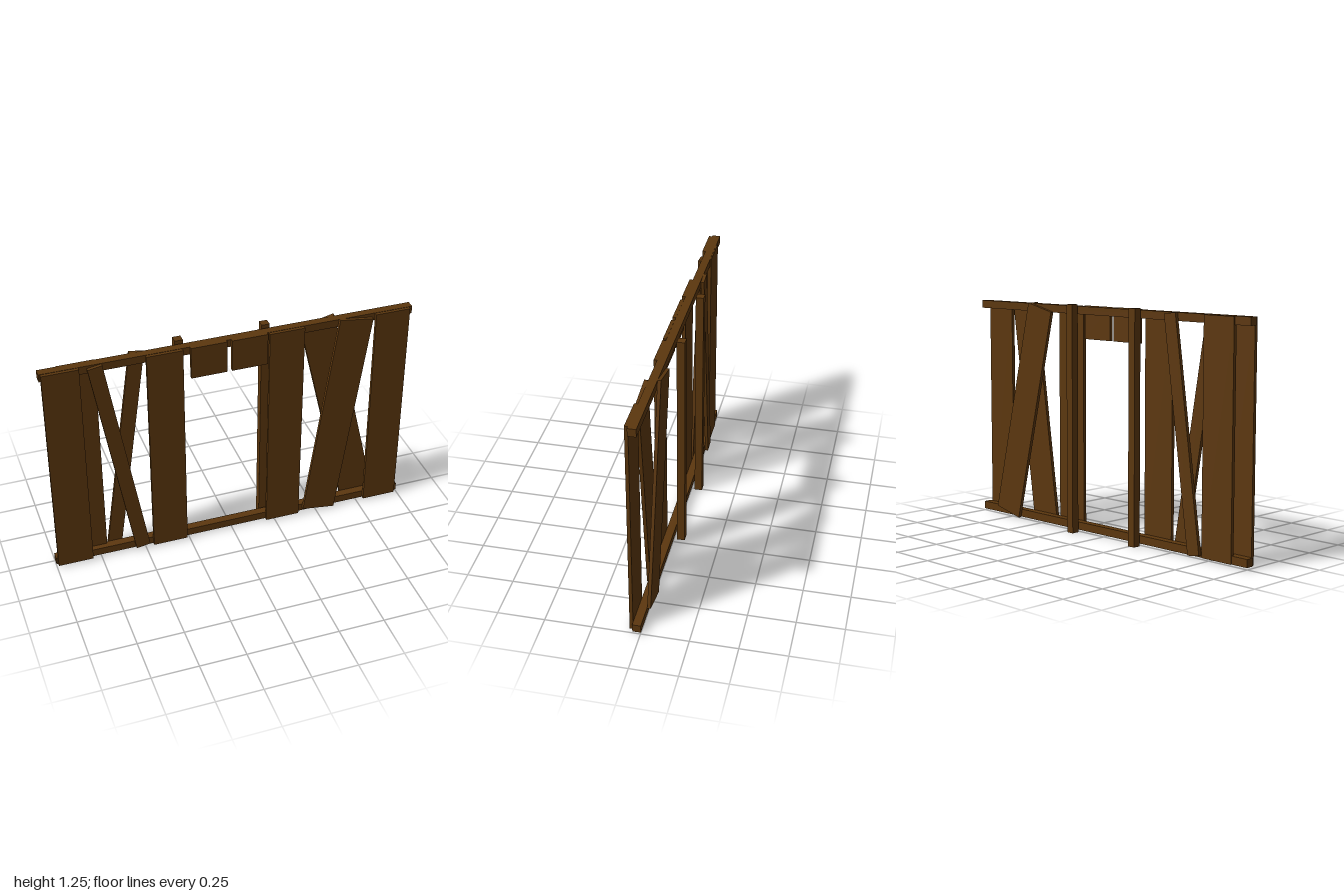
import * as THREE from 'three';

export function createModel() {
  const model = new THREE.Group();
  model.name = 'plankWallWithDoorway';
  const wood = new THREE.MeshStandardMaterial({ color: 0x5c370e });
  wood.name = 'brown wood';

  // Upright or level board given by its extents
  function board(name, x0, x1, y0, y1, z0, z1) {
    const mesh = new THREE.Mesh(new THREE.BoxGeometry(x1 - x0, y1 - y0, z1 - z0), wood);
    mesh.position.set((x0 + x1) / 2, (y0 + y1) / 2, (z0 + z1) / 2);
    mesh.name = name;
    model.add(mesh);
  }

  // Leaning board running from a bottom centre to a top centre
  function brace(name, xb, yb, xt, yt, width, z0, z1) {
    const dx = xt - xb, dy = yt - yb;
    const mesh = new THREE.Mesh(new THREE.BoxGeometry(width, Math.hypot(dx, dy), z1 - z0), wood);
    mesh.position.set((xb + xt) / 2, (yb + yt) / 2, (z0 + z1) / 2);
    mesh.rotation.z = -Math.atan2(dx, dy);
    mesh.name = name;
    model.add(mesh);
  }

  // Long rails
  board('bottomRail', -1, 1, 0.01, 0.053, -0.002, 0.042);
  board('topRail', -1, 1, 1.196, 1.239, -0.002, 0.042);

  // Door posts behind the rails
  for (const x of [-0.264, 0.203]) board('doorPost', x - 0.022, x + 0.022, 0, 1.25, -0.06, -0.018);

  // Full-height planks on the front
  for (const x of [-0.895, -0.36, 0.295, 0.885]) board('frontPlank', x - 0.096, x + 0.096, 0.01, 1.237, 0.042, 0.06);

  // Short planks above the doorway
  for (const x of [-0.127, 0.092]) board('lintelPlank', x - 0.097, x + 0.097, 1.06, 1.24, 0.042, 0.06);

  // Plank set on the back of the rails
  board('backPlank', -0.902, -0.708, 0.01, 1.237, -0.008, 0.011);

  // Crossed boards: narrow pair on the right, wide pair on the left
  brace('narrowFrontBrace', -0.516, 0.02, -0.72, 1.23, 0.078, 0.042, 0.06);
  brace('narrowBackBrace', -0.663, 0.015, -0.49, 1.235, 0.078, -0.02, -0.002);
  brace('wideFrontBrace', 0.512, 0.018, 0.68, 1.23, 0.188, 0.042, 0.06);
  brace('wideBackBrace', 0.768, 0.028, 0.485, 1.22, 0.19, -0.02, -0.002);

  return model;
}
